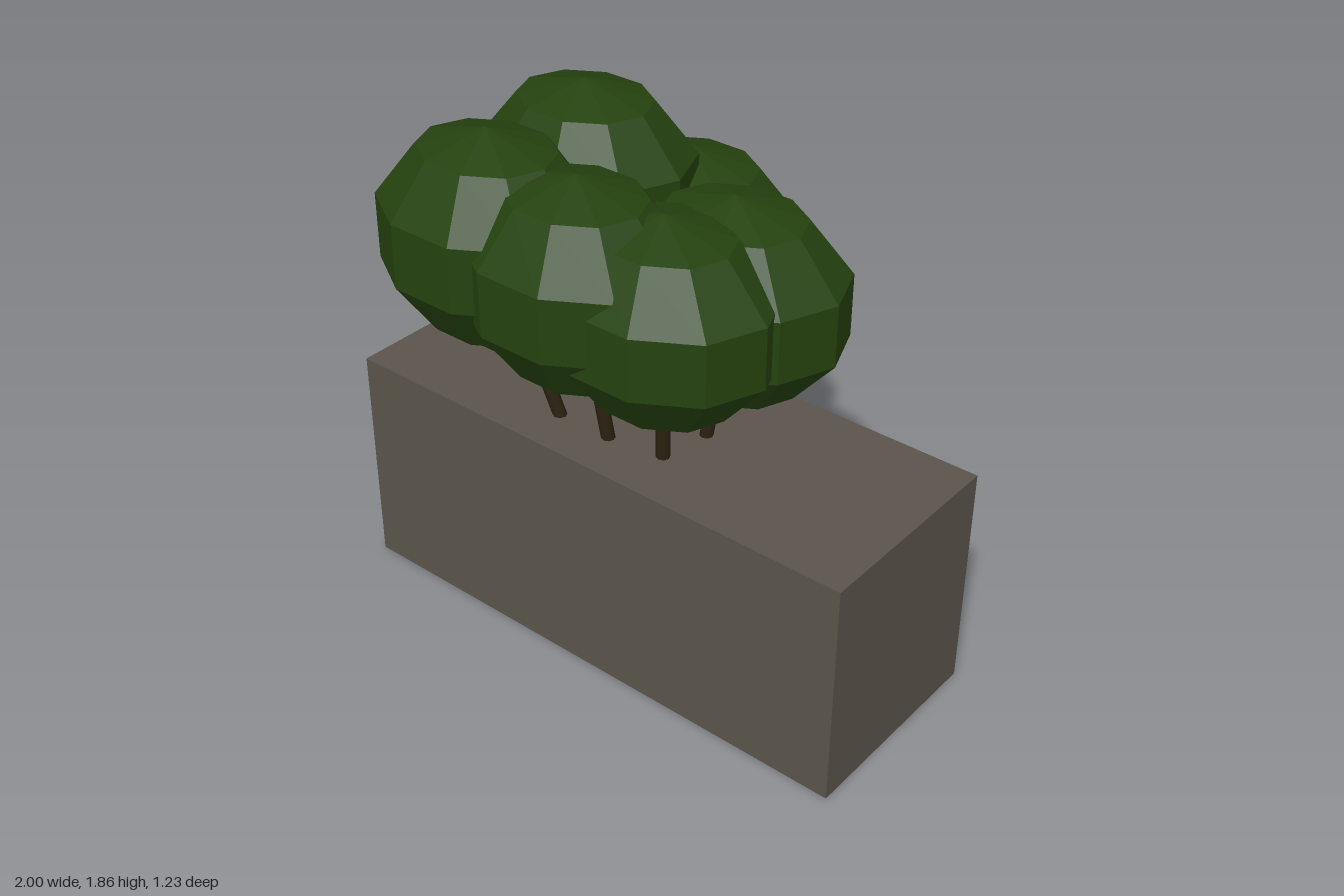
import * as THREE from 'three';

export function createModel() {
  const model = new THREE.Group();
  model.name = 'planter';
  const material = (name, color, flatShading = false) => {
    const m = new THREE.MeshStandardMaterial({ color, flatShading });
    m.name = name;
    return m;
  };
  const stone = material('stone', 0x5a544b);
  const leaf = material('leaf', 0x25420f, true);
  const bark = material('bark', 0x2b2412);

  // Stone planter block
  const block = new THREE.Mesh(new THREE.BoxGeometry(1.96, 0.81, 0.74), stone);
  block.name = 'planterBlock';
  block.position.set(0.015, 0.405, 0);
  model.add(block);

  // Leaning trunk between two points
  const up = new THREE.Vector3(0, 1, 0);
  function trunk(from, to) {
    const dir = to.clone().sub(from);
    const mesh = new THREE.Mesh(new THREE.CylinderGeometry(0.023, 0.023, dir.length(), 8), bark);
    mesh.name = 'trunk';
    mesh.position.copy(from).addScaledVector(dir, 0.5);
    mesh.quaternion.setFromUnitVectors(up, dir.normalize());
    return mesh;
  }

  // Trees: crown centre x, y, z, trunk base x, z, crown half height
  const trees = [
    ['leftTree', -0.62, 1.115, -0.09, -0.4, -0.06, 0.337],
    ['tallTree', -0.35, 1.52, -0.09, -0.165, -0.04, 0.337],
    ['frontLeftTree', -0.39, 1.465, 0.31, -0.225, 0.2, 0.355],
    ['frontTree', -0.04, 1.425, 0.305, -0.02, 0.2, 0.35],
    ['frontRightTree', 0.23, 1.37, 0.235, 0.18, 0.17, 0.337],
    ['rightTree', 0.295, 1.35, -0.02, 0.21, -0.01, 0.338],
    ['backTree', -0.11, 1.277, -0.32, -0.08, -0.22, 0.337],
  ];
  const crownGeometry = new THREE.SphereGeometry(1, 10, 5);
  for (const [name, x, y, z, bx, bz, ry] of trees) {
    const tree = new THREE.Group();
    tree.name = name;
    const crown = new THREE.Mesh(crownGeometry, leaf);
    crown.name = 'crown';
    crown.position.set(x, y, z);
    crown.scale.set(0.4, ry, 0.33);
    tree.add(crown, trunk(new THREE.Vector3(bx, 0.8, bz), new THREE.Vector3(x, y, z)));
    model.add(tree);
  }
  return model;
}
